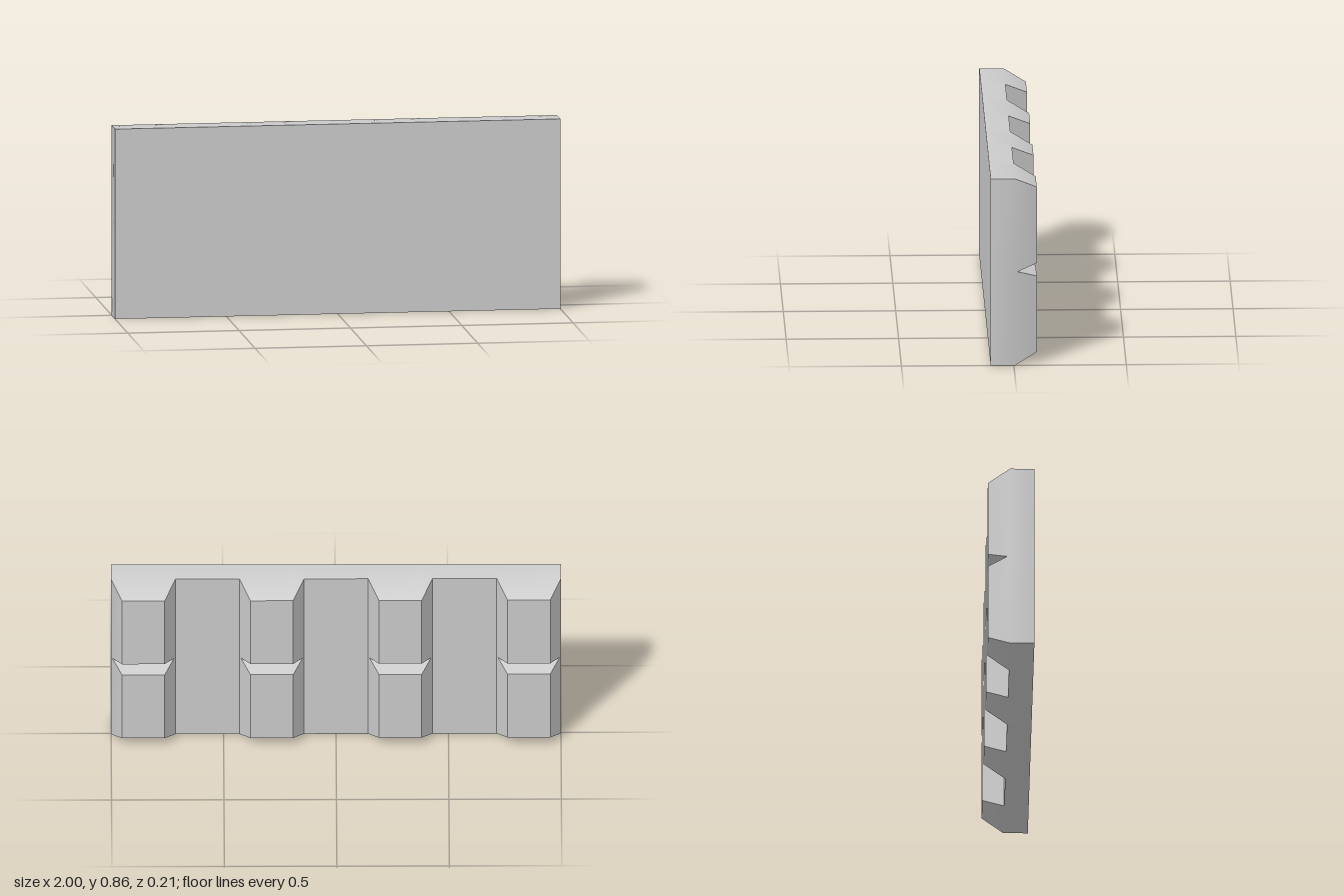
import * as THREE from 'three';
import { toCreasedNormals } from 'three/addons/utils/BufferGeometryUtils.js';

const HEIGHT = 0.855, MIDDLE = 0.4275;
const FRONT = 0.103, FLOOR = -0.006, CREST = -0.103, VALLEY = -0.017;
// heights of the rib crests: bottom bevel, notch lips, top bevel
const CREST_Y = [0.049, 0.398, MIDDLE, 0.457, HEIGHT - 0.049];
const BASE_Y = [0, MIDDLE, MIDDLE, MIDDLE, HEIGHT];

// four trapezoid ribs, each with base, crest, crest, base stations along x
const stations = [];
for (let r = 0; r < 4; r++) {
  const centre = -0.857 + r * (1.714 / 3);
  for (const offset of [-0.143, -0.095, 0.095, 0.143]) stations.push(centre + offset);
}

// One box, its grid points moved into a ribbed, bevelled and notched panel
function panelGeometry() {
  const g = new THREE.BoxGeometry(15, 4, 2, 15, 4, 2);
  const p = g.attributes.position;
  for (let n = 0; n < p.count; n++) {
    const i = Math.round(p.getX(n) + 7.5);
    const j = Math.round(p.getY(n) + 2);
    const k = Math.round(p.getZ(n) + 1);
    const onCrest = k === 0 && (i % 4 === 1 || i % 4 === 2);
    let x = stations[i], y = BASE_Y[j], z = k === 2 ? FRONT : FLOOR;
    if (onCrest) {
      y = CREST_Y[j];
      z = CREST;
      if (j === 2) {
        // bottom of the notch, kept on the sloping flank of the rib
        const t = (VALLEY - CREST) / (FLOOR - CREST);
        z = VALLEY;
        x = THREE.MathUtils.lerp(x, stations[i % 4 === 1 ? i - 1 : i + 1], t);
      }
    }
    p.setXYZ(n, x, y, z);
  }
  return toCreasedNormals(g, 0.6);
}

export function createModel() {
  const group = new THREE.Group();
  group.name = 'ribbedPanel';
  const material = new THREE.MeshStandardMaterial({ color: 0xcccccc });
  const panel = new THREE.Mesh(panelGeometry(), material);
  panel.name = 'panelWithRibs';
  group.add(panel);
  return group;
}
